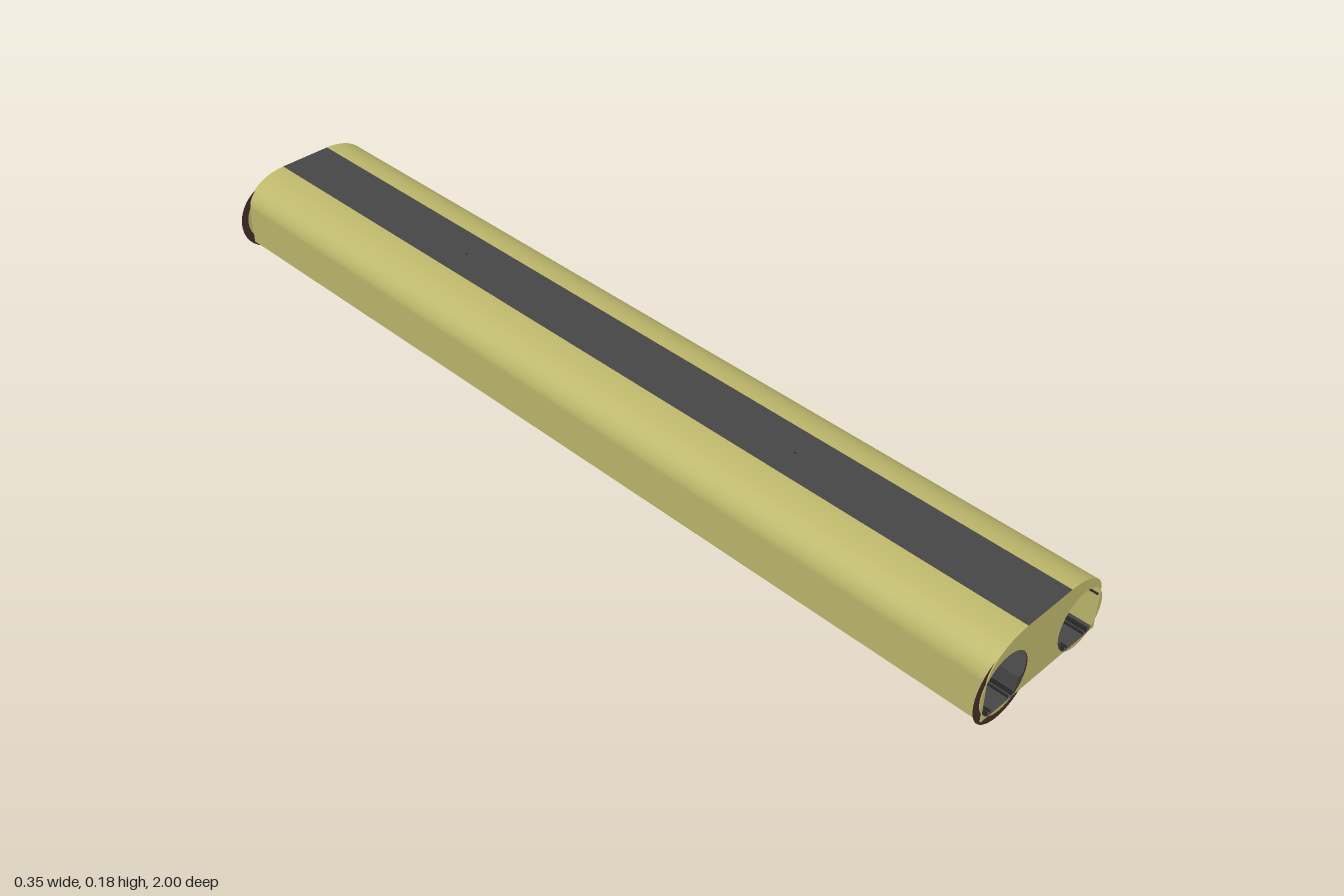
import * as THREE from 'three';

const HALF = 0.1575, FLAT = 0.06, FLOOR = 0.027, TOP = 0.178, SPRING = 0.114; // shell section
const BORE_X = 0.1055, BORE_Y = 0.08, BORE_R = 0.062;                       // tunnel mouths
const SIDE_A = Math.acos((HALF - BORE_X) / BORE_R);   // where a bore meets the wall
const FLOOR_A = Math.asin((BORE_Y - FLOOR) / BORE_R); // where a bore meets the floor

const mat = (name, color) => {
  const m = new THREE.MeshStandardMaterial({ color, side: THREE.DoubleSide });
  m.name = name;
  return m;
};

// Upper right shoulder of the section, from the wall to the flat roof
function shoulder(side) {
  const pts = [];
  for (let i = 0; i <= 20; i++) {
    const a = (i / 20) * Math.PI / 2;
    pts.push(new THREE.Vector2(side * (FLAT + (HALF - FLAT) * Math.cos(a)), SPRING + (TOP - SPRING) * Math.sin(a)));
  }
  return pts;
}

// Points along a bore circle, on the chosen side
function arc(side, from, to, n = 24) {
  return Array.from({ length: n + 1 }, (_, i) => {
    const a = from + (to - from) * i / n;
    return new THREE.Vector2(side * (BORE_X + BORE_R * Math.cos(a)), BORE_Y + BORE_R * Math.sin(a));
  });
}

// Open section swept along the full length
function sweep(pts) {
  const g = new THREE.PlaneGeometry(1, 1, pts.length - 1, 1);
  const p = g.attributes.position;
  for (let i = 0; i < p.count; i++) {
    const q = pts[i % pts.length];
    p.setXYZ(i, q.x, q.y, i < pts.length ? 1 : -1);
  }
  g.computeVertexNormals();
  return g;
}

export function createModel() {
  const model = new THREE.Group();
  const khaki = mat('khaki shell', 0xbdb76b);
  const grey = mat('dark grey', 0x464646);
  const brown = mat('dark brown', 0x432c26);
  const black = mat('rail black', 0x2a2a2a);

  const add = (name, geo, material, x = 0, y = 0, z = 0) => {
    const m = new THREE.Mesh(geo, material);
    m.name = name;
    m.position.set(x, y, z);
    model.add(m);
    return m;
  };
  const box = (name, material, w, y0, y1, x) =>
    add(name, new THREE.BoxGeometry(w, y1 - y0, 1.996), material, x, (y0 + y1) / 2);
  const strip = (w, y) => sweep([new THREE.Vector2(-w, y), new THREE.Vector2(w, y)]);

  // Floor, roof strip and central platform
  add('floor', strip(HALF, FLOOR), grey);
  add('roofStrip', strip(FLAT, TOP), grey);
  box('platform', grey, FLAT * 2, FLOOR + 0.0005, 0.06, 0);

  for (const s of [-1, 1]) {
    // Curved outer wall
    add('sideWall', sweep([new THREE.Vector2(s * HALF, FLOOR), new THREE.Vector2(s * HALF, 0.07), ...shoulder(s)]), khaki);
    // Running rails and guard rails
    for (const t of [-1, 1]) {
      box('rail', black, 0.003, FLOOR + 0.0005, 0.037, s * BORE_X + t * 0.0335);
      box('guardRail', black, 0.0015, FLOOR + 0.0005, 0.033, s * BORE_X + t * 0.0235);
    }
  }
  // Cables on the walls
  box('wallCable', black, 0.002, 0.101, 0.117, -HALF + 0.0015);
  box('wallCable', black, 0.003, 0.103, 0.106, HALF - 0.003);

  // End faces: web around the bores, corner fillets and the lips outside the section
  const shapes = [new THREE.Shape([
    ...arc(1, Math.PI + FLOOR_A, SIDE_A, 48),
    ...shoulder(1),
    ...shoulder(-1).reverse(),
    ...arc(-1, SIDE_A, Math.PI + FLOOR_A, 48),
  ])];
  for (const s of [-1, 1]) {
    shapes.push(new THREE.Shape([new THREE.Vector2(s * HALF, FLOOR), ...arc(s, -FLOOR_A, -SIDE_A, 8)]));
    shapes.push(new THREE.Shape(arc(s, -SIDE_A, SIDE_A)));
    shapes.push(new THREE.Shape(arc(s, FLOOR_A - Math.PI, -FLOOR_A)));
  }
  const face = new THREE.ShapeGeometry(shapes);
  const ring = new THREE.RingGeometry(BORE_R, 0.079, 64);
  for (const e of [-1, 1]) {
    const f = add('endFace', face, khaki, 0, 0, e);
    const r = add('boreRing', ring, brown, -BORE_X, BORE_Y, e * 0.998);
    if (e < 0) {
      // Turn the rear faces outward; the section is symmetric
      f.rotation.y = Math.PI;
      r.rotation.y = Math.PI;
    }
    // Small roof markers
    add('roofMarker', new THREE.BoxGeometry(0.003, 0.003, 0.003), black, 0, TOP, e * 0.45);
  }

  // Shift to the section's offset from the centre line
  for (const part of model.children) part.position.x += 0.0075;
  return model;
}
